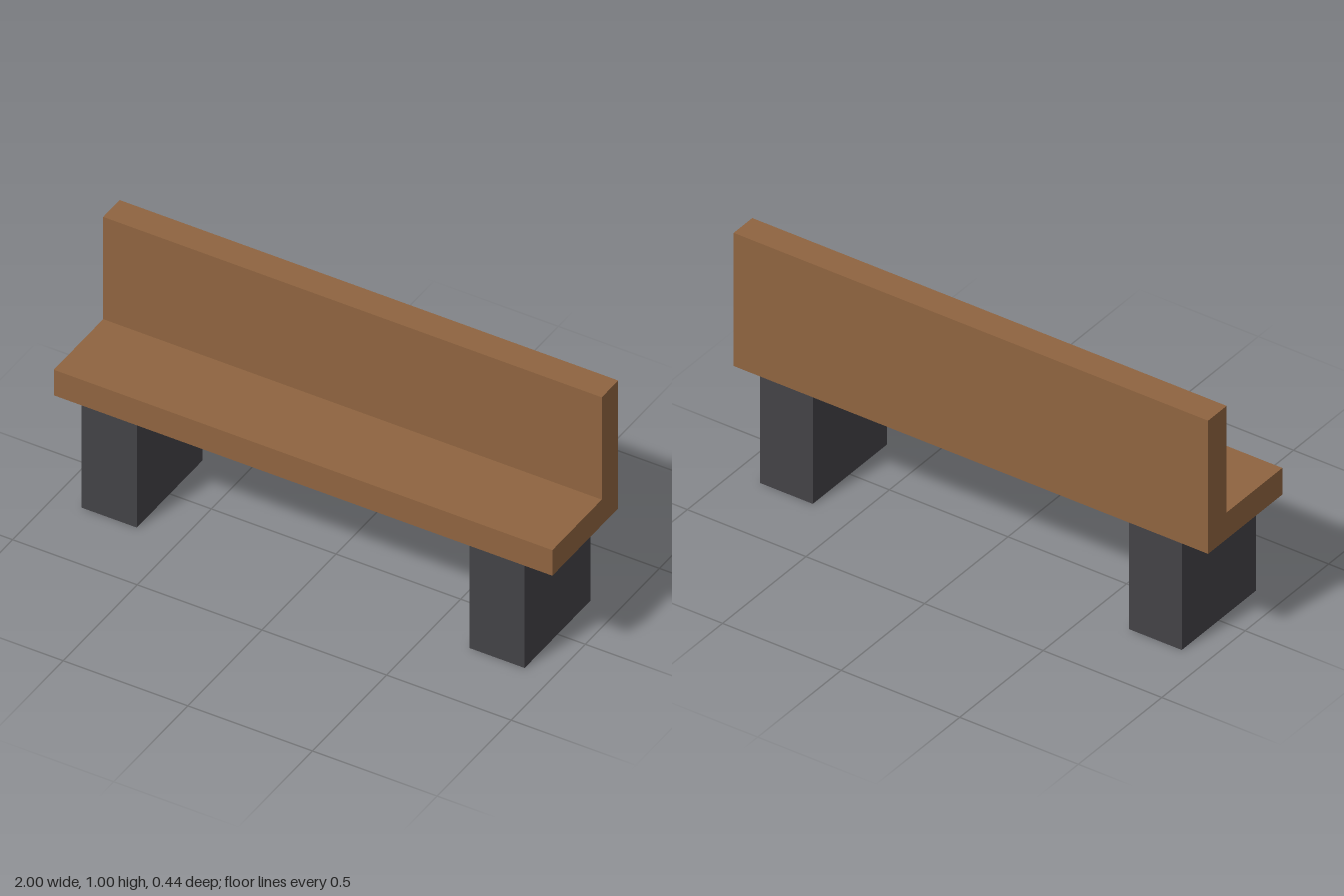
import * as THREE from 'three';

export function createModel() {
  const model = new THREE.Group();
  model.name = 'bench';

  const wood = new THREE.MeshStandardMaterial({ name: 'brown wood', color: 0x8f6440 });
  const metal = new THREE.MeshStandardMaterial({ name: 'dark grey', color: 0x434246 });

  const u = 1 / 9; // plank thickness; every size is a multiple of it

  // Seat and backrest: one L-shaped profile (x = towards the back) run along the bench
  const profile = new THREE.Shape([
    [-2, 4], [2, 4], [2, 9], [1, 9], [1, 5], [-2, 5],
  ].map(([x, y]) => new THREE.Vector2(x * u, y * u)));
  const seatGeometry = new THREE.ExtrudeGeometry(profile, { depth: 2, bevelEnabled: false });
  seatGeometry.translate(0, 0, -1).rotateY(Math.PI / 2);
  const seat = new THREE.Mesh(seatGeometry, wood);
  seat.name = 'seatAndBackrest';
  model.add(seat);

  // Block legs, mirrored left and right
  const legGeometry = new THREE.BoxGeometry(2 * u, 4 * u, 4 * u);
  for (const side of [1, -1]) {
    const leg = new THREE.Mesh(legGeometry, metal);
    leg.name = side > 0 ? 'leftLeg' : 'rightLeg';
    leg.position.set(side * 7 * u, 2 * u, 0);
    model.add(leg);
  }

  return model;
}
